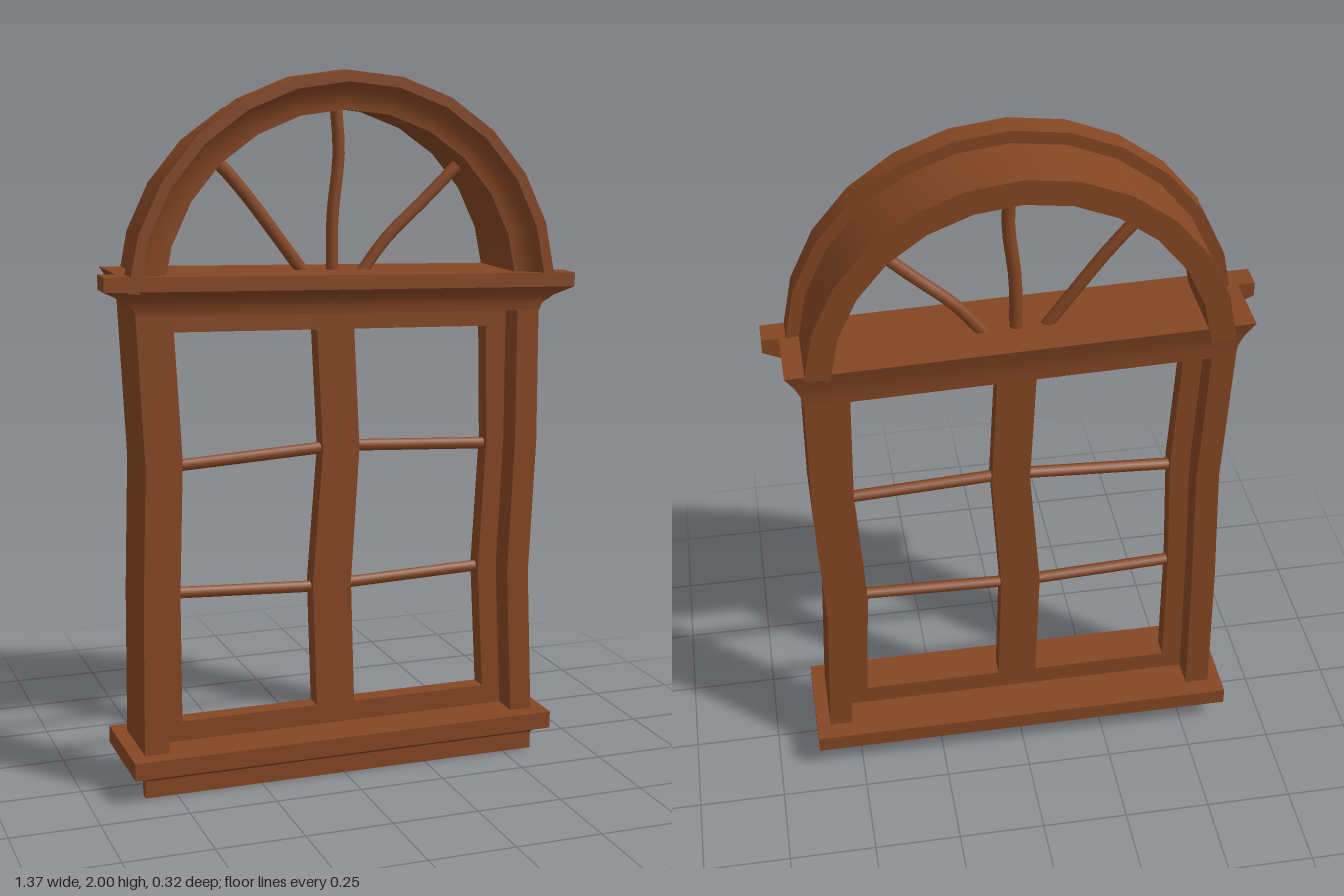
import * as THREE from 'three';
import { toCreasedNormals } from 'three/addons/utils/BufferGeometryUtils.js';

const TILT = -0.029; // the crooked slope of the transom

export function createModel() {
  const model = new THREE.Group();
  const wood = new THREE.MeshStandardMaterial({ color: 0x844623 });
  wood.name = 'brown wood';

  function add(name, geometry, parent = model) {
    const mesh = new THREE.Mesh(geometry, wood);
    mesh.name = name;
    parent.add(mesh);
    return mesh;
  }

  // Stack of rectangles [y, x0, x1, z0, z1], skinned and capped
  function loft(sections, tilt = 0) {
    const rings = sections.map(([y, x0, x1, z0, z1]) =>
      [[x0, z1], [x1, z1], [x1, z0], [x0, z0]].map(([x, z]) => [x, y + tilt * x, z]));
    const pos = [];
    const quad = (a, b, c, d) => pos.push(...a, ...b, ...c, ...a, ...c, ...d);
    for (let k = 0; k < rings.length - 1; k++) {
      for (let i = 0; i < 4; i++) {
        const j = (i + 1) % 4;
        quad(rings[k][i], rings[k][j], rings[k + 1][j], rings[k + 1][i]);
      }
    }
    quad(...rings[rings.length - 1]);
    quad(...[...rings[0]].reverse());
    const g = new THREE.BufferGeometry();
    g.setAttribute('position', new THREE.Float32BufferAttribute(pos, 3));
    return toCreasedNormals(g, 0.5);
  }

  // Wavy upright: x pairs given at four heights
  const heights = [0.12, 0.55, 0.94, 1.37];
  const upright = (xs, z0, z1) => loft(xs.map(([a, b], i) => [heights[i], a, b, z0, z1]));

  // Half ring swept from a closed [radius, z] profile
  function arch(profile) {
    const a = 0.07;
    const g = new THREE.LatheGeometry(
      profile.map(([r, z]) => new THREE.Vector2(r, z)), 12, Math.PI / 2 + a, Math.PI - 2 * a);
    g.rotateX(Math.PI / 2);
    g.translate(0, 1.38, 0);
    return toCreasedNormals(g, 0.5);
  }

  // Thin round bar through [x, y] points
  function rod(points, z, radius) {
    const path = new THREE.CatmullRomCurve3(points.map(([x, y]) => new THREE.Vector3(x, y, z)));
    return new THREE.TubeGeometry(path, points.length > 2 ? 10 : 1, radius, 8);
  }

  // Sill and the apron below it
  add('sill', loft([[0.075, -0.63, 0.63, -0.16, 0.16], [0.125, -0.63, 0.63, -0.16, 0.16]]));
  add('apron', loft([
    [0, -0.59, 0.59, 0.08, 0.11],
    [0.05, -0.59, 0.59, 0.08, 0.11],
    [0.075, -0.59, 0.59, 0.08, 0.15],
  ]));

  // Outer frame
  add('rightJamb', upright([[-0.59, -0.52], [-0.585, -0.515], [-0.572, -0.505], [-0.592, -0.525]], -0.105, 0.11));
  add('leftJamb', upright([[0.525, 0.59], [0.505, 0.572], [0.522, 0.59], [0.522, 0.588]], -0.105, 0.11));

  // Transom flaring out at the top, with a coved cornice in front
  add('transom', loft([
    [1.34, -0.59, 0.59, -0.105, 0.09],
    [1.375, -0.595, 0.595, -0.106, 0.09],
    [1.41, -0.61, 0.61, -0.113, 0.09],
    [1.45, -0.635, 0.635, -0.125, 0.08],
  ], TILT));
  add('cornice', loft([
    [1.34, -0.59, 0.59, 0.07, 0.11],
    [1.36, -0.597, 0.597, 0.07, 0.112],
    [1.385, -0.63, 0.63, 0.07, 0.122],
    [1.41, -0.683, 0.683, 0.07, 0.145],
    [1.45, -0.683, 0.683, 0.07, 0.145],
  ], TILT));

  // Two sashes: stiles, rails and glazing bars
  const sashes = [
    {
      name: 'rightSash',
      outer: [[-0.525, -0.46], [-0.52, -0.46], [-0.51, -0.447], [-0.528, -0.47]],
      inner: [[-0.055, 0], [-0.068, -0.005], [-0.037, 0.018], [-0.058, 0]],
      rail: [-0.475, -0.05],
      bars: [[[-0.46, 0.92], [-0.03, 0.942]], [[-0.47, 0.555], [-0.06, 0.535]]],
    },
    {
      name: 'leftSash',
      outer: [[0.47, 0.53], [0.447, 0.51], [0.468, 0.528], [0.458, 0.526]],
      inner: [[0, 0.06], [-0.005, 0.048], [0.018, 0.073], [0, 0.052]],
      rail: [0.045, 0.475],
      bars: [[[0.06, 0.943], [0.48, 0.92]], [[0.04, 0.537], [0.46, 0.55]]],
    },
  ];
  const zb = -0.025, zf = 0.03;
  for (const s of sashes) {
    const sash = new THREE.Group();
    sash.name = s.name;
    model.add(sash);
    add('outerStile', upright(s.outer, zb, zf), sash);
    add('meetingStile', upright(s.inner, zb, zf), sash);
    add('bottomRail', loft([[0.12, ...s.rail, zb, zf], [0.183, ...s.rail, zb, zf]]), sash);
    add('topRail', loft([[1.285, ...s.rail, zb, zf], [1.36, ...s.rail, zb, zf]], TILT), sash);
    for (const bar of s.bars) add('glazingBar', rod(bar, 0, 0.017), sash);
  }

  // Arched head: plain body and moulded front casing
  add('archBody', arch([[0.515, -0.125], [0.585, -0.125], [0.585, 0.08], [0.515, 0.08], [0.515, -0.125]]));
  add('archCasing', arch([
    [0.515, 0.07], [0.62, 0.07], [0.62, 0.145], [0.59, 0.145], [0.575, 0.13],
    [0.555, 0.118], [0.535, 0.111], [0.515, 0.11], [0.515, 0.07],
  ]));

  // Crooked fanlight spokes
  const spokes = [
    [[-0.375, 1.79], [-0.33, 1.755], [-0.25, 1.665], [-0.17, 1.56], [-0.07, 1.425]],
    [[0.01, 1.92], [0.02, 1.77], [0.002, 1.6], [0, 1.42]],
    [[0.4, 1.755], [0.28, 1.64], [0.16, 1.53], [0.075, 1.42]],
  ];
  for (const s of spokes) add('fanlightSpoke', rod(s, 0, 0.018));

  return model;
}
